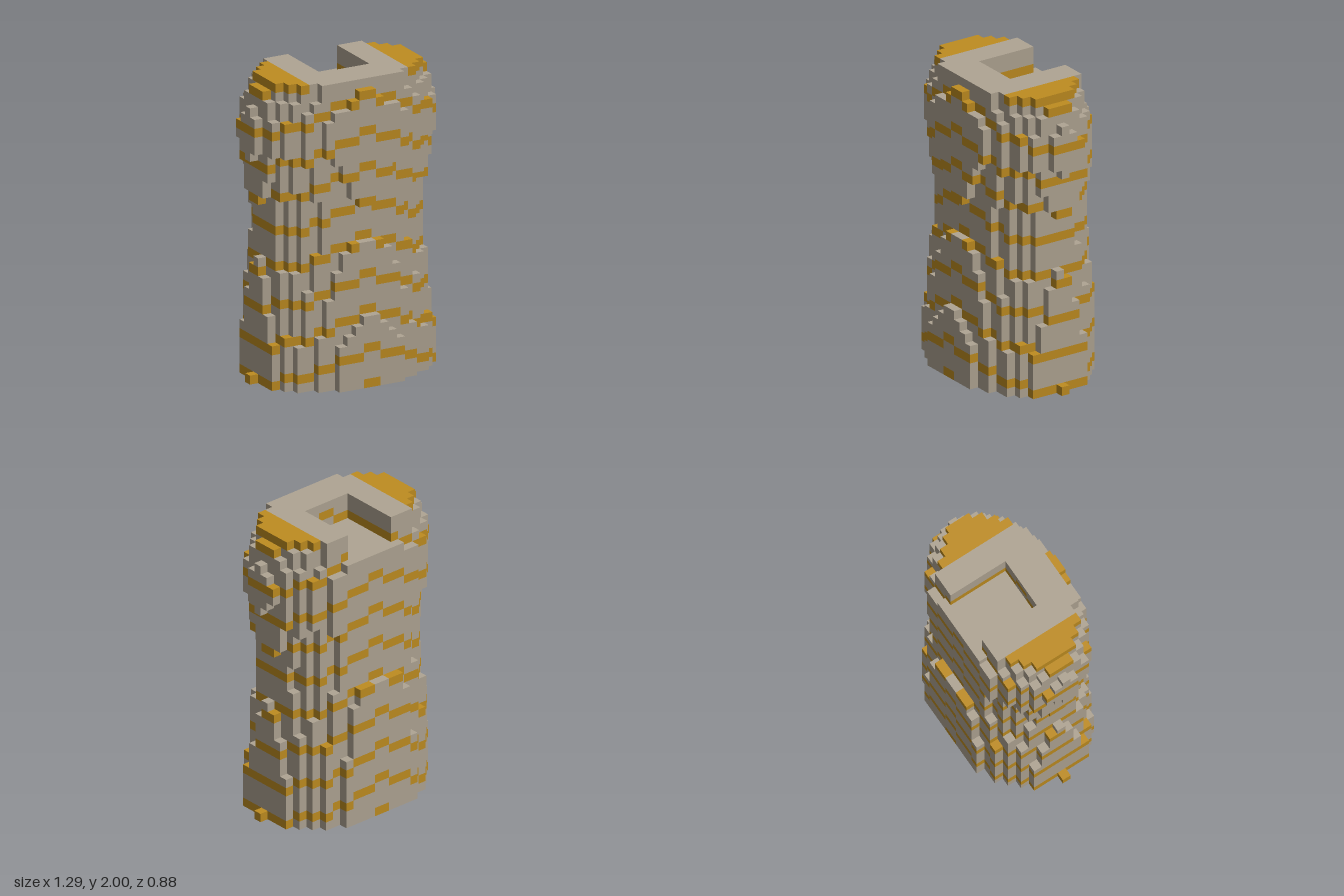
import * as THREE from 'three';

const U = 1 / 17; // edge of one cube
const NX = 11, NZ = 7, NY = 34;

// Outline by height (in cubes): [height, half width, front depth, back depth]
const PROFILE = [
  [0.5, 10.53, 7.6, 7.72], [1.5, 10.45, 7.55, 7.72], [4.5, 10.38, 7.46, 7.7],
  [5.5, 10.25, 7.25, 7.7], [6.5, 10.1, 7.1, 7.68], [7.5, 9.98, 7.03, 7.66],
  [8.5, 9.87, 6.95, 7.64], [12.5, 9.58, 6.55, 7.5], [13.5, 9.52, 6.42, 7.42],
  [14.5, 9.4, 6.3, 7.36], [15.5, 9.25, 6.2, 7.3], [16.5, 9.12, 5.97, 6.9],
  [18, 9.1, 5.85, 6.8], [19.5, 9.4, 5.95, 6.8], [20.5, 9.62, 6.02, 6.85],
  [21.5, 9.8, 6.1, 6.9], [24.5, 10.3, 6.3, 6.95], [25.5, 10.52, 6.45, 6.95],
  [28, 10.97, 6.93, 6.97], [29.5, 10.8, 6.75, 6.95], [30.5, 10.52, 6.4, 6.4],
  [31.5, 10.2, 6.12, 5.98], [32.5, 9.75, 6.03, 5.98], [33.5, 9.2, 5.8, 5.98],
];

function outlineAt(y) {
  let k = 0;
  while (k < PROFILE.length - 2 && PROFILE[k + 1][0] < y) k++;
  const p = PROFILE[k], q = PROFILE[k + 1];
  const t = (y - p[0]) / (q[0] - p[0]);
  return [1, 2, 3].map((c) => p[c] + (q[c] - p[c]) * t);
}
const OUTLINES = Array.from({ length: NY }, (_, j) => outlineAt(j + 0.5));

// Is there a cube at column i, layer j, row k?
function filled(i, j, k) {
  if (j < 0 || j >= NY || i < -NX || i >= NX || Math.abs(k) > NZ) return false;
  const x = Math.abs(i + 0.5);
  if (j >= 31 && x < 3 && k <= 1) return false; // notch open to the back
  const [a, front, back] = OUTLINES[j];
  const power = k < 0 ? 2.2 : 2;
  return (x / a) ** power + (Math.abs(k) / (k < 0 ? back : front)) ** power < 1;
}

// Chevron bands repeat every four layers
function striped(i, j) {
  const column = i < 0 ? -i - 1 : i;
  return (j + Math.floor((column * 4 + 6) / 10)) % 4 === 0;
}

// Six cube sides: normal and two in-plane axes, with u x v = normal
const SIDES = [
  [[1, 0, 0], [0, 1, 0], [0, 0, 1]], [[-1, 0, 0], [0, 0, 1], [0, 1, 0]],
  [[0, 1, 0], [0, 0, 1], [1, 0, 0]], [[0, -1, 0], [1, 0, 0], [0, 0, 1]],
  [[0, 0, 1], [1, 0, 0], [0, 1, 0]], [[0, 0, -1], [0, 1, 0], [1, 0, 0]],
];
const CORNERS = [[-1, -1], [1, -1], [1, 1], [-1, 1]];

// Outer faces of all cubes of one colour between two layers
function cubeSkin(from, to, wantStripe) {
  const positions = [], normals = [], index = [];
  for (let j = from; j < to; j++)
    for (let i = -NX; i < NX; i++)
      for (let k = -NZ; k <= NZ; k++) {
        if (!filled(i, j, k) || striped(i, j) !== wantStripe) continue;
        const centre = [i + 0.5, j + 0.5, k];
        for (const [n, u, v] of SIDES) {
          if (filled(i + n[0], j + n[1], k + n[2])) continue;
          const base = positions.length / 3;
          for (const [s, t] of CORNERS) {
            for (let c = 0; c < 3; c++)
              positions.push((centre[c] + (n[c] + s * u[c] + t * v[c]) / 2) * U);
            normals.push(...n);
          }
          index.push(base, base + 1, base + 2, base, base + 2, base + 3);
        }
      }
  const geometry = new THREE.BufferGeometry();
  geometry.setAttribute('position', new THREE.Float32BufferAttribute(positions, 3));
  geometry.setAttribute('normal', new THREE.Float32BufferAttribute(normals, 3));
  geometry.setIndex(index);
  return geometry;
}

export function createModel() {
  const stone = new THREE.MeshStandardMaterial({ color: 0xb0a593 });
  stone.name = 'warm grey';
  const ochre = new THREE.MeshStandardMaterial({ color: 0xbf8d20 });
  ochre.name = 'ochre';

  const model = new THREE.Group();
  model.name = 'stripedBody';
  // Flared base, narrow waist, broad top with the notch
  for (const [name, from, to] of [['base', 0, 16], ['waist', 16, 20], ['chest', 20, NY]]) {
    const part = new THREE.Group();
    part.name = name;
    const body = new THREE.Mesh(cubeSkin(from, to, false), stone);
    body.name = name + 'Body';
    const stripes = new THREE.Mesh(cubeSkin(from, to, true), ochre);
    stripes.name = name + 'Stripes';
    part.add(body, stripes);
    model.add(part);
  }
  return model;
}
